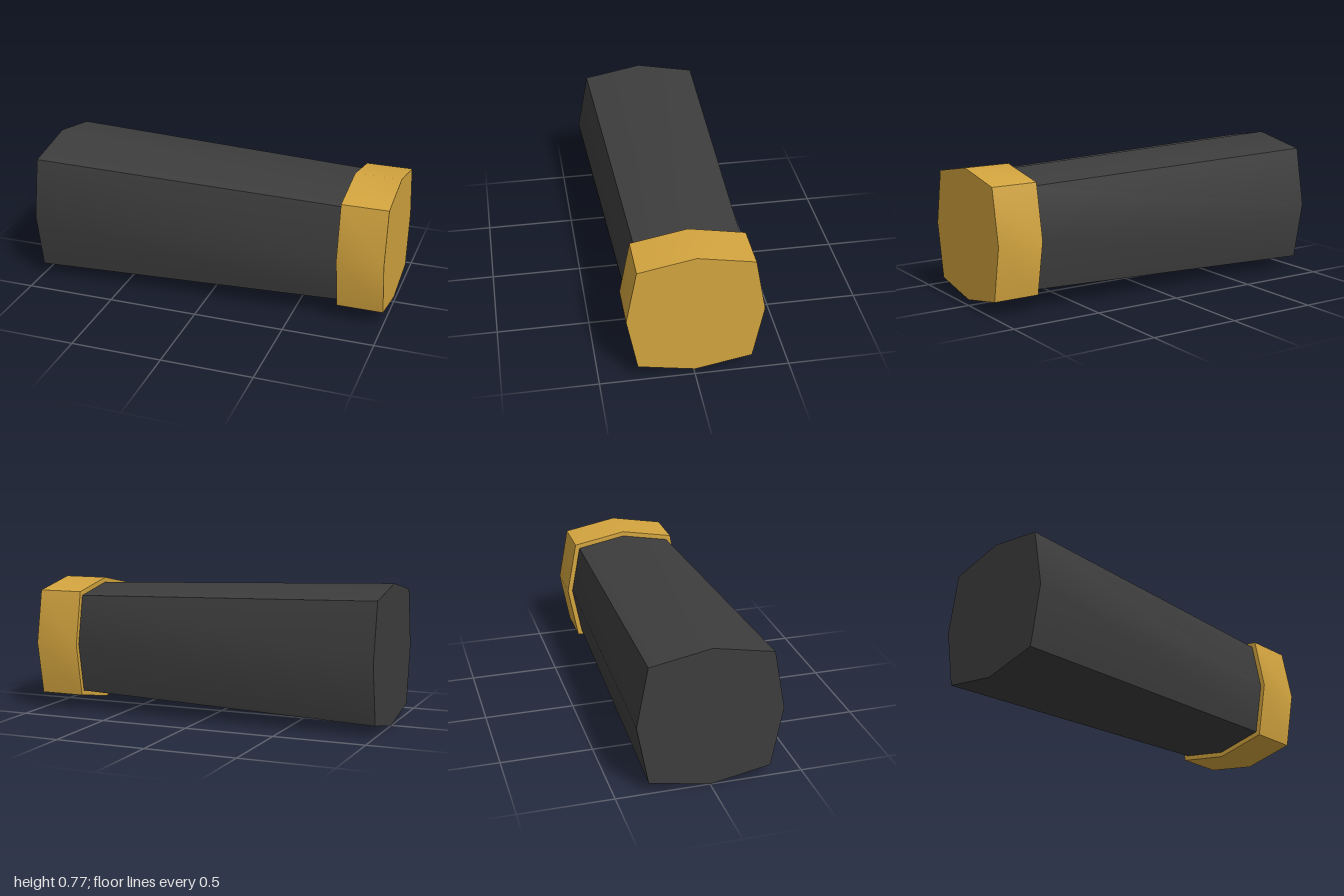
import * as THREE from 'three';
import { toCreasedNormals } from 'three/addons/utils/BufferGeometryUtils.js';

const CENTRE_Y = 0.387;

// Eight-sided prism along x: a square with gently bowed sides.
// Radii are measured at the mid-side ridges; corners reach further out.
function bowedPrism(x0, x1, r0, r1, cornerScale) {
  const g = new THREE.CylinderGeometry(r1, r0, x1 - x0, 8, 1);
  const p = g.attributes.position;
  for (let i = 0; i < p.count; i++) {
    const x = p.getX(i), z = p.getZ(i);
    if (Math.abs(x) > 0.01 && Math.abs(z) > 0.01) {
      p.setX(i, x * cornerScale);
      p.setZ(i, z * cornerScale);
    }
  }
  g.rotateZ(-Math.PI / 2);
  g.translate((x0 + x1) / 2, CENTRE_Y, 0);
  // Smooth over the shallow ridges, sharp at corners and ends
  return toCreasedNormals(g, Math.PI / 6);
}

export function createModel() {
  const group = new THREE.Group();
  group.name = 'taperedHandle';

  const charcoal = new THREE.MeshStandardMaterial({ color: 0x3d3d3d });
  charcoal.name = 'charcoal';
  const gold = new THREE.MeshStandardMaterial({ color: 0xd4a53f });
  gold.name = 'gold';

  // Tapered grip, ending just inside the cap
  const grip = new THREE.Mesh(bowedPrism(-1, 0.76, 0.387, 0.327, 1.19), charcoal);
  grip.name = 'grip';

  // Straight end cap, slightly wider than the grip
  const endCap = new THREE.Mesh(bowedPrism(0.745, 1, 0.355, 0.355, 1.19), gold);
  endCap.name = 'endCap';

  group.add(grip, endCap);
  return group;
}
